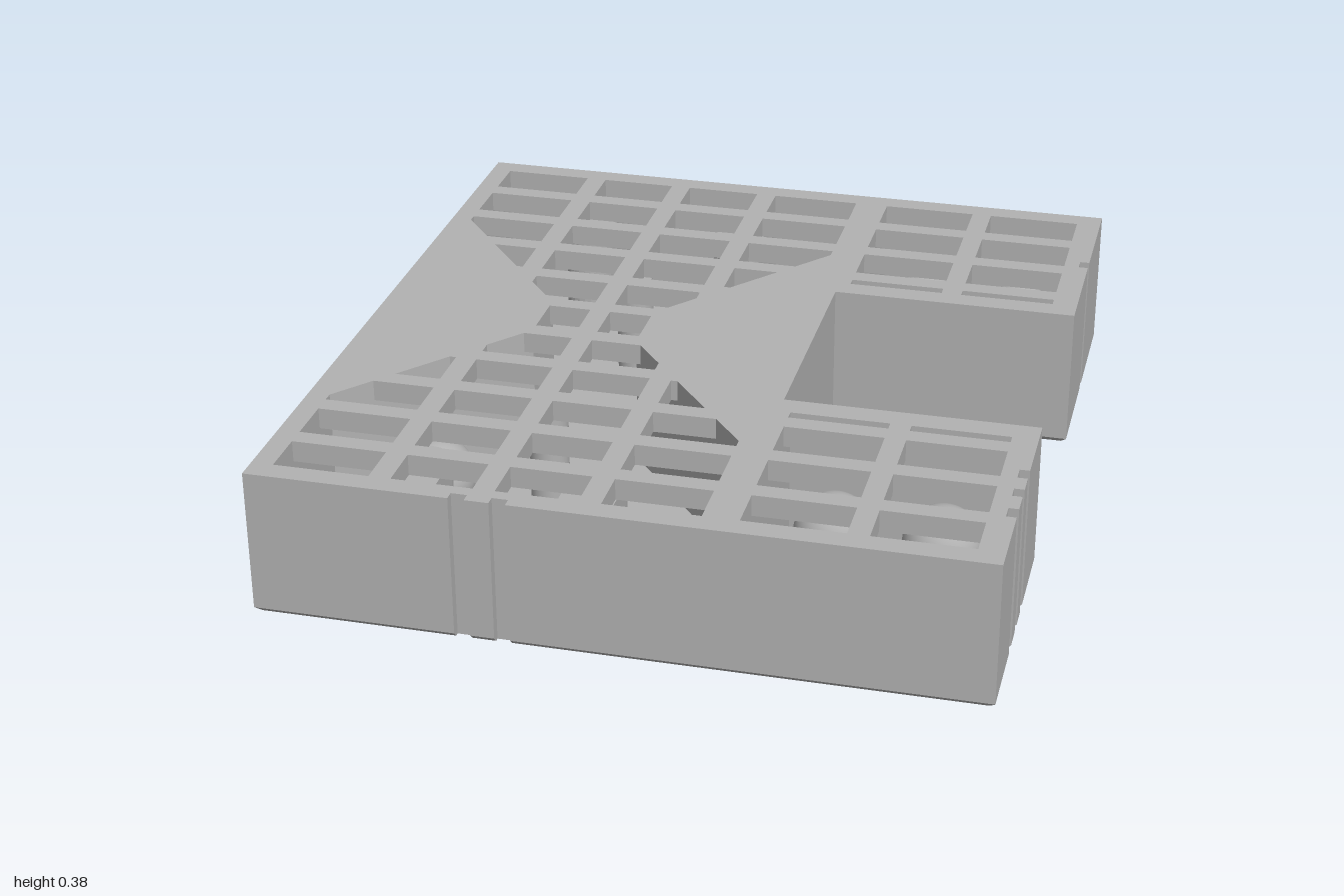
import * as THREE from 'three';

const CX = -0.325;          // axis of the hourglass chamber
const TOP = 0.385, LID = 0.33, FLOOR = 0.04, CHAMFER = 0.015;

// C-shaped plan with small key slots cut in the edges (x, z)
const outline = [[-0.905, -1], [0.905, -1]];
const slot = (z0, z1) => outline.push([0.905, z0], [0.88, z0], [0.88, z1], [0.905, z1]);
slot(-0.68, -0.645);
outline.push([0.905, -0.33], [0.26, -0.33], [0.26, 0.325], [0.905, 0.325]);
slot(0.55, 0.59);
slot(0.645, 0.68);
slot(0.74, 0.78);
outline.push([0.905, 1]);
for (const x of [-0.255, -0.355]) outline.push([x, 1], [x, 0.975], [x - 0.04, 0.975], [x - 0.04, 1]);
outline.push([-0.905, 1]);

const toPoints = (pts) => pts.map(([x, z]) => new THREE.Vector2(x, z));
const rect = (x0, x1, z0, z1) => [[x0, z0], [x1, z0], [x1, z1], [x0, z1]];

// Extrude a plan shape between two heights
function slab(pts, holes, y0, y1) {
  const shape = new THREE.Shape(toPoints(pts));
  shape.holes = holes.map((h) => new THREE.Path(toPoints(h)));
  const geo = new THREE.ExtrudeGeometry(shape, { depth: y1 - y0, bevelEnabled: false, curveSegments: 12 });
  return geo.rotateX(Math.PI / 2).translate(0, y1, 0);
}

// Keep the part of a polygon inside the slanted chamber wall u - 0.81 v <= 0.067
function clip(poly) {
  const side = ([u, v]) => u - 0.81 * v - 0.067;
  const out = [];
  poly.forEach((a, i) => {
    const b = poly[(i + 1) % poly.length], da = side(a), db = side(b);
    if (da <= 0) out.push(a);
    if (da * db < 0) {
      const t = da / (da - db);
      out.push([a[0] + t * (b[0] - a[0]), a[1] + t * (b[1] - a[1])]);
    }
  });
  return out;
}

function grilleHoles() {
  const holes = [];
  const rows = [[0.112, 0.24], [0.29, 0.417], [0.467, 0.592], [0.643, 0.77], [0.82, 0.942]];
  // hourglass windows, mirrored in both directions
  for (const sx of [-1, 1]) {
    for (const sz of [-1, 1])
      for (const [u0, u1] of [[0.027, 0.23], [0.285, 0.525]])
        for (const [v0, v1] of rows) {
          const p = clip(rect(u0, u1, v0, v1));
          if (p.length > 2) holes.push(p.map(([u, v]) => [CX + sx * u, sz * v]));
        }
    holes.push(rect(0.027, 0.14, -0.065, 0.06).map(([u, z]) => [CX + sx * u, z]));
  }
  // windows over the two side arms
  for (const sz of [-1, 1])
    for (const [x0, x1] of [[0.29, 0.54], [0.593, 0.84]])
      for (const [v0, v1] of [[0.39, 0.417], ...rows.slice(2)])
        holes.push(rect(x0, x1, sz * v0, sz * v1));
  return holes;
}

export function createModel() {
  const group = new THREE.Group();
  const grey = new THREE.MeshStandardMaterial({ color: 0xb2b2b2 });
  grey.name = 'grey';
  const add = (name, geo) => {
    const mesh = new THREE.Mesh(geo, grey);
    mesh.name = name;
    group.add(mesh);
    return mesh;
  };

  // Chamfered foot: pull the lower ring of the outline inward
  const foot = slab(outline, [], 0, CHAMFER);
  const p = foot.attributes.position;
  for (let i = 0; i < p.count; i++) {
    if (p.getY(i) > CHAMFER / 2) continue;
    const x = p.getX(i), z = p.getZ(i), az = Math.abs(z);
    if (Math.abs(x) > 0.9) p.setX(i, x - Math.sign(x) * CHAMFER);
    else if (Math.abs(x - 0.26) < 0.001 && az < 0.4) p.setX(i, x - CHAMFER);
    if (az > 0.99) p.setZ(i, z - Math.sign(z) * CHAMFER);
    else if (az < 0.34) p.setZ(i, z + Math.sign(z) * CHAMFER);
  }
  foot.computeVertexNormals();
  add('foot', foot);
  add('floor', slab(outline, [], CHAMFER, FLOOR));

  // Walls around the hourglass chamber and the two arm chambers
  const half = [[0.525, -0.945], [0.525, -0.565], [0.14, -0.09], [0.14, 0.09], [0.525, 0.565], [0.525, 0.945]];
  const chamber = [
    ...half.map(([u, z]) => [CX + u, z]),
    ...half.slice().reverse().map(([u, z]) => [CX - u, z]),
  ];
  const arms = [rect(0.29, 0.84, -0.945, -0.39), rect(0.29, 0.84, 0.39, 0.945)];
  add('walls', slab(outline, [chamber, ...arms], FLOOR, LID));

  // Grille lid
  add('grilleLid', slab(outline, grilleHoles(), LID, TOP));

  // Round-ended dividers and pivot pegs inside the chamber
  for (const sz of [-1, 1]) {
    for (const sx of [-1, 1]) {
      const r = 0.068, x = CX + sx * 0.22, pts = [[x + r, sz * 0.945]];
      for (let i = 0; i <= 12; i++) {
        const a = (i / 12) * Math.PI;
        pts.push([x + r * Math.cos(a), sz * (0.735 - r * Math.sin(a))]);
      }
      pts.push([x - r, sz * 0.945]);
      add('divider', slab(pts, [], FLOOR, LID));
    }
    const peg = new THREE.CylinderGeometry(0.05, 0.05, LID - FLOOR, 24);
    add('peg', peg).position.set(CX, (LID + FLOOR) / 2, sz * 0.42);
  }

  // Loose balls resting on the floor
  const ball = new THREE.SphereGeometry(0.1, 32, 20);
  const spots = [[-0.7, 0.8], [CX, 0.8], [0.05, 0.8], [-0.605, 0.48]];
  for (const x of [0.43, 0.7]) for (const z of [-0.805, -0.53, 0.52, 0.8]) spots.push([x, z]);
  for (const [x, z] of spots) add('ball', ball).position.set(x, FLOOR + 0.1, z);

  return group;
}
